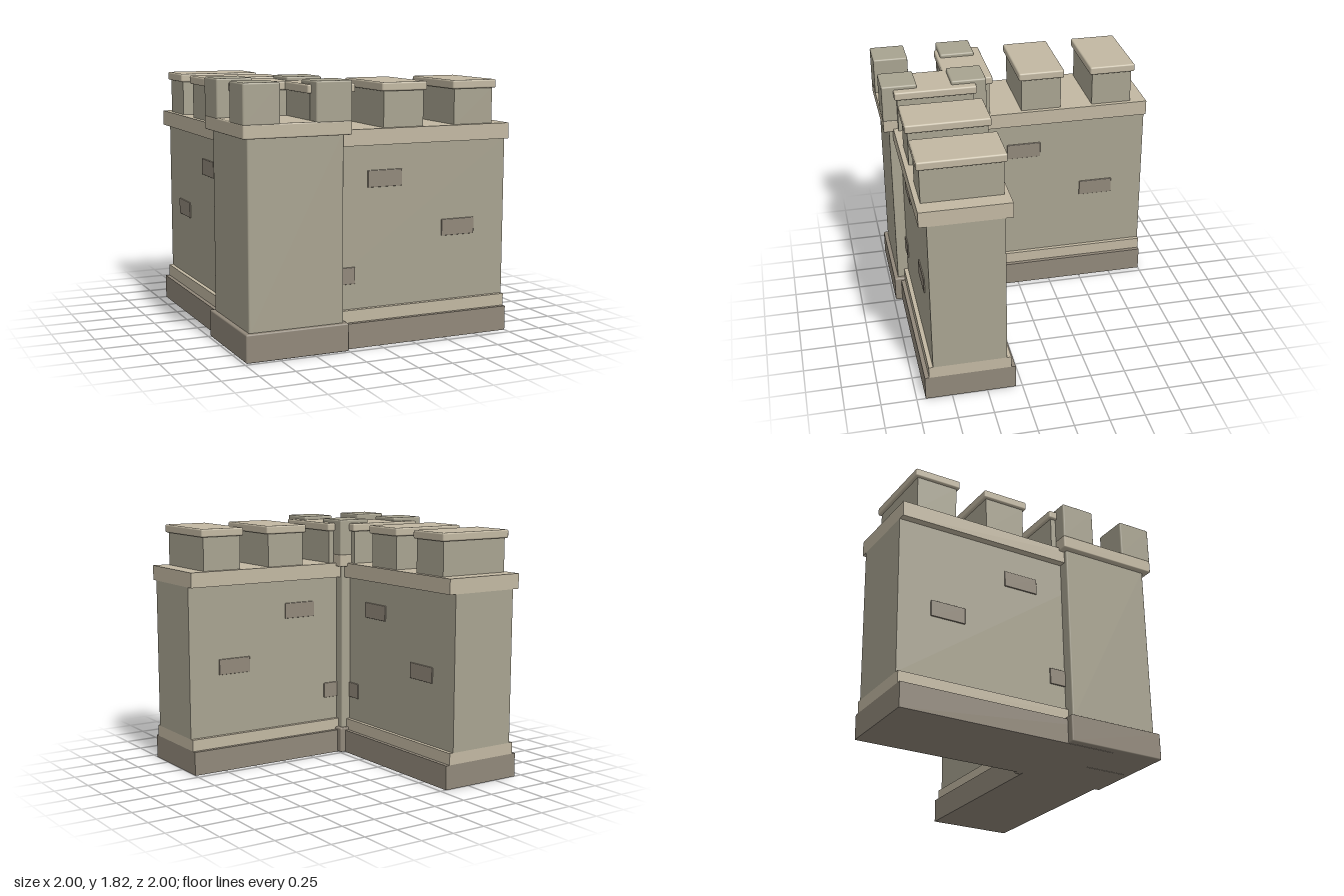
import * as THREE from 'three';
import { RoundedBoxGeometry } from 'three/addons/geometries/RoundedBoxGeometry.js';

const paint = (color) => new THREE.MeshStandardMaterial({ color });

export function createModel() {
  const light = paint(0xc2b8a2), stone = paint(0xa8a390), dark = paint(0x91887a);

  // Box spanning y0..y1, centred on (x, z); bevel > 0 softens its edges
  function block(parent, name, material, [w, d], [y0, y1], [x, z] = [0, 0], bevel = 0) {
    const geometry = bevel
      ? new RoundedBoxGeometry(w, y1 - y0, d, 2, bevel)
      : new THREE.BoxGeometry(w, y1 - y0, d);
    const mesh = new THREE.Mesh(geometry, material);
    mesh.name = name;
    mesh.position.set(x, (y0 + y1) / 2, z);
    parent.add(mesh);
  }

  // One wall running along x, centred on its own origin
  function makeWall(name) {
    const wall = new THREE.Group();
    wall.name = name;
    const length = 1.62;
    block(wall, 'wallBase', dark, [length, 0.64], [0, 0.175]);
    block(wall, 'wallTrim', light, [length, 0.58], [0.175, 0.26]);
    block(wall, 'wallBody', stone, [length, 0.52], [0.26, 1.38]);
    block(wall, 'wallCap', light, [length, 0.625], [1.38, 1.49]);

    // Battlements with overhanging caps
    for (const x of [-0.54, 0, 0.54]) {
      block(wall, 'battlement', stone, [0.3, 0.556], [1.485, 1.74], [x, 0]);
      block(wall, 'battlementCap', light, [0.342, 0.596], [1.735, 1.795], [x, 0], 0.012);
    }
    // Accent bricks standing out on both faces
    for (const [x, y] of [[-0.13, 1.147], [0.44, 0.773], [-0.48, 0.493]]) {
      block(wall, 'accentBrick', dark, [0.257, 0.538], [y - 0.058, y + 0.058], [x, 0], 0.004);
    }
    return wall;
  }

  // Square corner tower
  function makeTower() {
    const tower = new THREE.Group();
    tower.name = 'cornerTower';
    block(tower, 'towerBase', dark, [0.735, 0.735], [0.002, 0.195], [0, 0], 0.01);
    block(tower, 'towerBody', stone, [0.675, 0.675], [0.18, 1.48], [0, 0], 0.01);
    block(tower, 'towerCap', light, [0.76, 0.76], [1.465, 1.56], [0, 0], 0.01);
    for (const x of [-0.252, 0.252]) {
      for (const z of [-0.252, 0.252]) {
        block(tower, 'cornerBattlement', stone, [0.256, 0.256], [1.55, 1.822], [x, z], 0.012);
      }
    }
    return tower;
  }

  const model = new THREE.Group();
  model.name = 'castleCorner';

  const frontWall = makeWall('frontWall');
  frontWall.position.set(0.19, 0, 0.617);

  const sideWall = makeWall('sideWall');
  sideWall.rotation.y = Math.PI / 2;
  sideWall.position.set(-0.617, 0, -0.19);

  const tower = makeTower();
  tower.position.set(-0.62, 0, 0.62);

  model.add(frontWall, sideWall, tower);
  return model;
}
